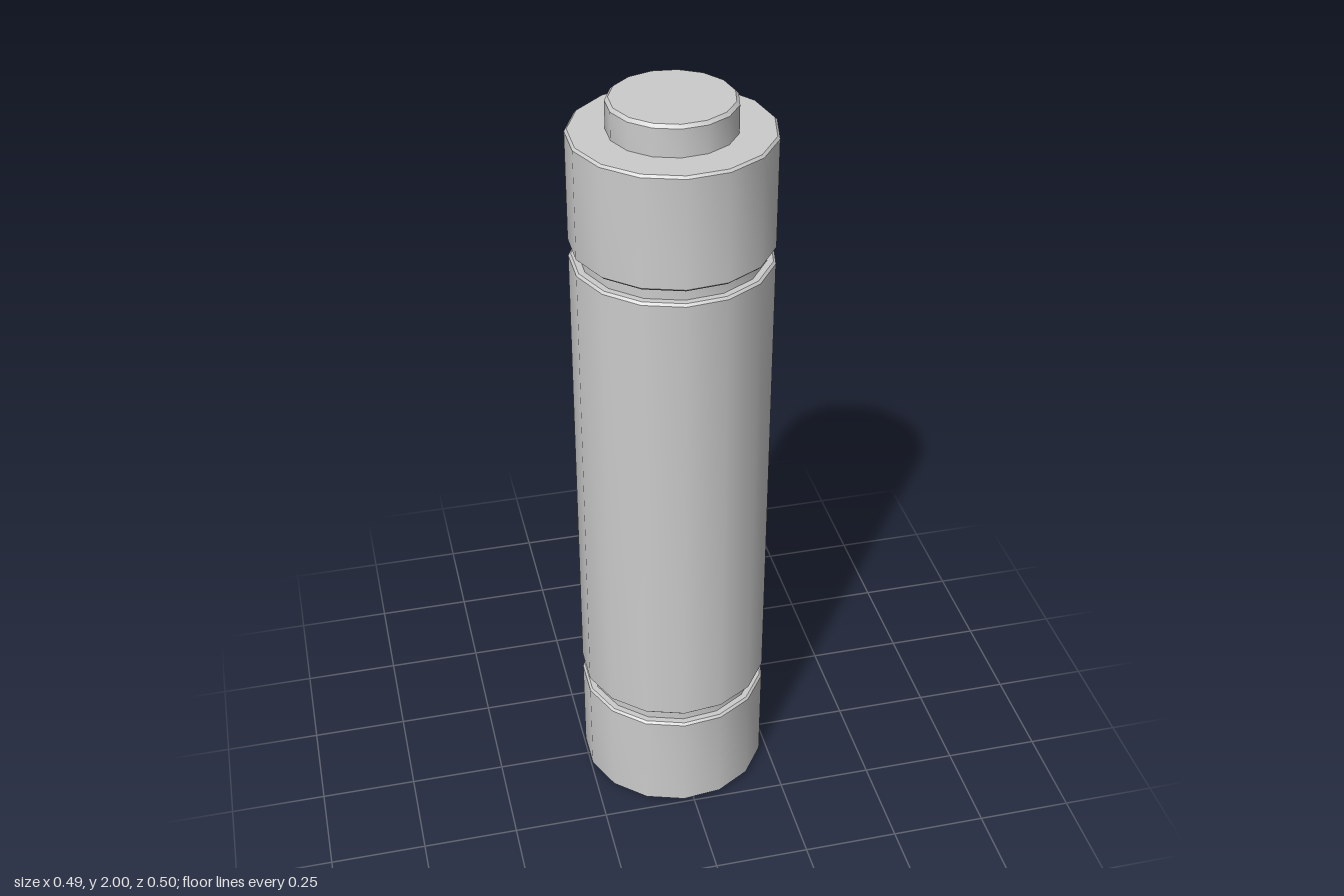
import * as THREE from 'three';
import { toCreasedNormals } from 'three/addons/utils/BufferGeometryUtils.js';

const SIDES = 15;
const material = new THREE.MeshStandardMaterial({ color: 0xcccccc });

// Revolve a bottom-to-top profile, with a corner of the polygon on +x.
function turned(name, profile) {
  const points = profile.map(([r, y]) => new THREE.Vector2(r, y));
  const lathe = new THREE.LatheGeometry(points, SIDES, Math.PI / 2);
  const mesh = new THREE.Mesh(toCreasedNormals(lathe, THREE.MathUtils.degToRad(30)), material);
  mesh.name = name;
  return mesh;
}

// Shell section with bevelled rims, closed inwards to radius `inner` at each end.
function section(name, r, y0, y1, bevel0, bevel1, inner0, inner1) {
  return turned(name, [
    [inner0, y0], [r - bevel0, y0], [r, y0 + bevel0],
    [r, y1 - bevel1], [r - bevel1, y1], [inner1, y1],
  ]);
}

export function createModel() {
  const group = new THREE.Group();
  group.name = 'batteryCell';

  const R = 0.25, GROOVE = 0.228, BUTTON = 0.156;

  group.add(
    section('bottomCap', R, 0, 0.29, 0.01, 0.006, 0, GROOVE),
    turned('lowerGroove', [[GROOVE, 0.29], [GROOVE, 0.324]]),
    section('body', R, 0.324, 1.597, 0.006, 0.006, GROOVE, GROOVE),
    turned('upperGroove', [[GROOVE, 1.597], [GROOVE, 1.63]]),
    section('topCap', R, 1.63, 1.922, 0.006, 0.006, GROOVE, BUTTON),
    // Raised terminal on the top
    turned('terminal', [[BUTTON, 1.922], [BUTTON, 1.992], [BUTTON - 0.008, 2], [0, 2]]),
  );

  // An odd number of sides is slightly wider on +x, so shift to centre it
  group.position.x = -R * (1 - Math.cos(Math.PI / SIDES)) / 2;
  return group;
}
